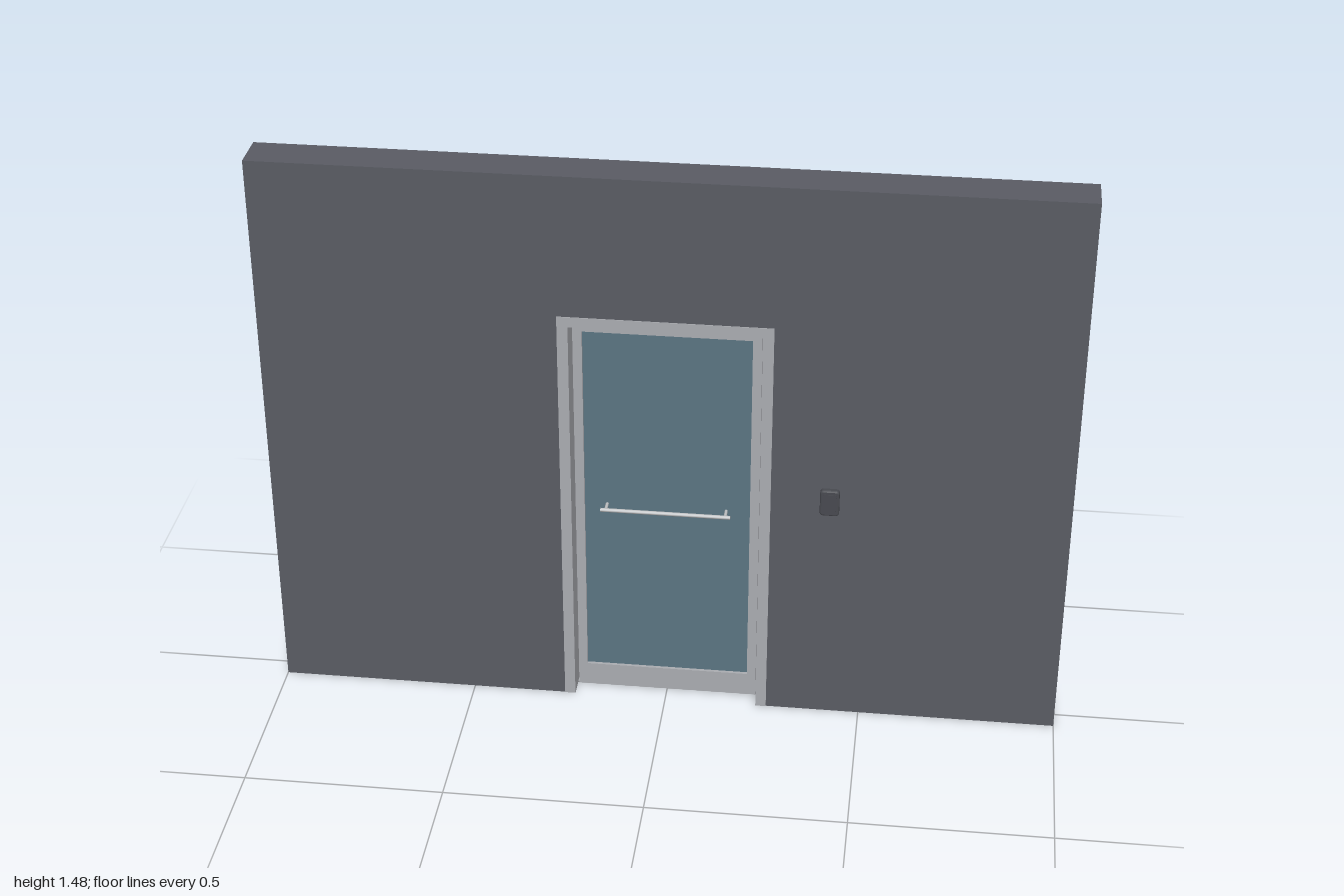
import * as THREE from 'three';

const material = (name, color) => {
  const m = new THREE.MeshStandardMaterial({ color });
  m.name = name;
  return m;
};

// Upside-down U outline standing on y = 0
function portal(outerX, outerY, innerX, innerY) {
  return new THREE.Shape([
    [-outerX, 0], [-innerX, 0], [-innerX, innerY], [innerX, innerY],
    [innerX, 0], [outerX, 0], [outerX, outerY], [-outerX, outerY],
  ].map(([x, y]) => new THREE.Vector2(x, y)));
}

function rectPath(x0, y0, x1, y1, Type = THREE.Path) {
  return new Type([[x0, y0], [x1, y0], [x1, y1], [x0, y1]].map(([x, y]) => new THREE.Vector2(x, y)));
}

function roundedRect(w, h, r) {
  const s = new THREE.Shape();
  s.absarc(w / 2 - r, h / 2 - r, r, 0, Math.PI / 2);
  s.absarc(-w / 2 + r, h / 2 - r, r, Math.PI / 2, Math.PI);
  s.absarc(-w / 2 + r, -h / 2 + r, r, Math.PI, Math.PI * 1.5);
  s.absarc(w / 2 - r, -h / 2 + r, r, Math.PI * 1.5, Math.PI * 2);
  return s;
}

// Straight extrusion between two depths
function slab(shape, z0, z1) {
  return new THREE.ExtrudeGeometry(shape, { depth: z1 - z0, bevelEnabled: false, curveSegments: 5 }).translate(0, 0, z0);
}

export function createModel() {
  const model = new THREE.Group();
  const wallPaint = material('wall grey', 0x5a5c64);
  const framePaint = material('frame aluminium', 0xabadb2);
  const glass = material('blue glass', 0x5b7582);
  const steel = material('handle steel', 0xc0c2c4);
  const plastic = material('dark plastic', 0x484a50);

  const add = (name, geometry, mat, parent = model) => {
    const mesh = new THREE.Mesh(geometry, mat);
    mesh.name = name;
    parent.add(mesh);
    return mesh;
  };

  // Wall with doorway, lined by a frame that stands slightly proud of both faces
  add('wall', slab(portal(1, 1.475, 0.255, 1.1), -0.057, 0.049), wallPaint);
  add('doorFrame', slab(portal(0.262, 1.107, 0.235, 1.08), -0.063, 0.051), framePaint);

  // Door leaf: rails and stiles around a recessed pane
  const door = new THREE.Group();
  door.name = 'door';
  model.add(door);
  const leaf = rectPath(-0.231, 0.003, 0.231, 1.071, THREE.Shape);
  leaf.holes.push(rectPath(-0.208, 0.066, 0.208, 1.047));
  add('doorLeaf', slab(leaf, -0.017, 0.007), framePaint, door);
  add('glassPane', new THREE.BoxGeometry(0.416, 0.981, 0.008).translate(0, 0.5565, -0.005), glass, door);

  // Horizontal bar handle on two stand-offs
  const handle = new THREE.Group();
  handle.name = 'barHandle';
  handle.position.set(-0.002, 0.556, 0.03);
  door.add(handle);
  add('handleBar', new THREE.CylinderGeometry(0.005, 0.005, 0.326, 12).rotateZ(Math.PI / 2), steel, handle);
  for (const side of [-1, 1]) {
    add('handlePost', new THREE.CylinderGeometry(0.004, 0.004, 0.031, 10)
      .rotateX(Math.PI / 2).translate(side * 0.15, 0, -0.0155), steel, handle);
  }

  // Wall switch: bevelled plate with a small push panel
  const wallSwitch = new THREE.Group();
  wallSwitch.name = 'wallSwitch';
  wallSwitch.position.set(0.408, 0.635, 0.049);
  model.add(wallSwitch);
  add('switchPlate', new THREE.ExtrudeGeometry(roundedRect(0.04, 0.064, 0.005), {
    depth: 0.009, bevelThickness: 0.004, bevelSize: 0.004, bevelSegments: 2, curveSegments: 4,
  }), plastic, wallSwitch);
  add('switchButton', slab(roundedRect(0.032, 0.052, 0.004), 0.012, 0.0145), plastic, wallSwitch);

  return model;
}
